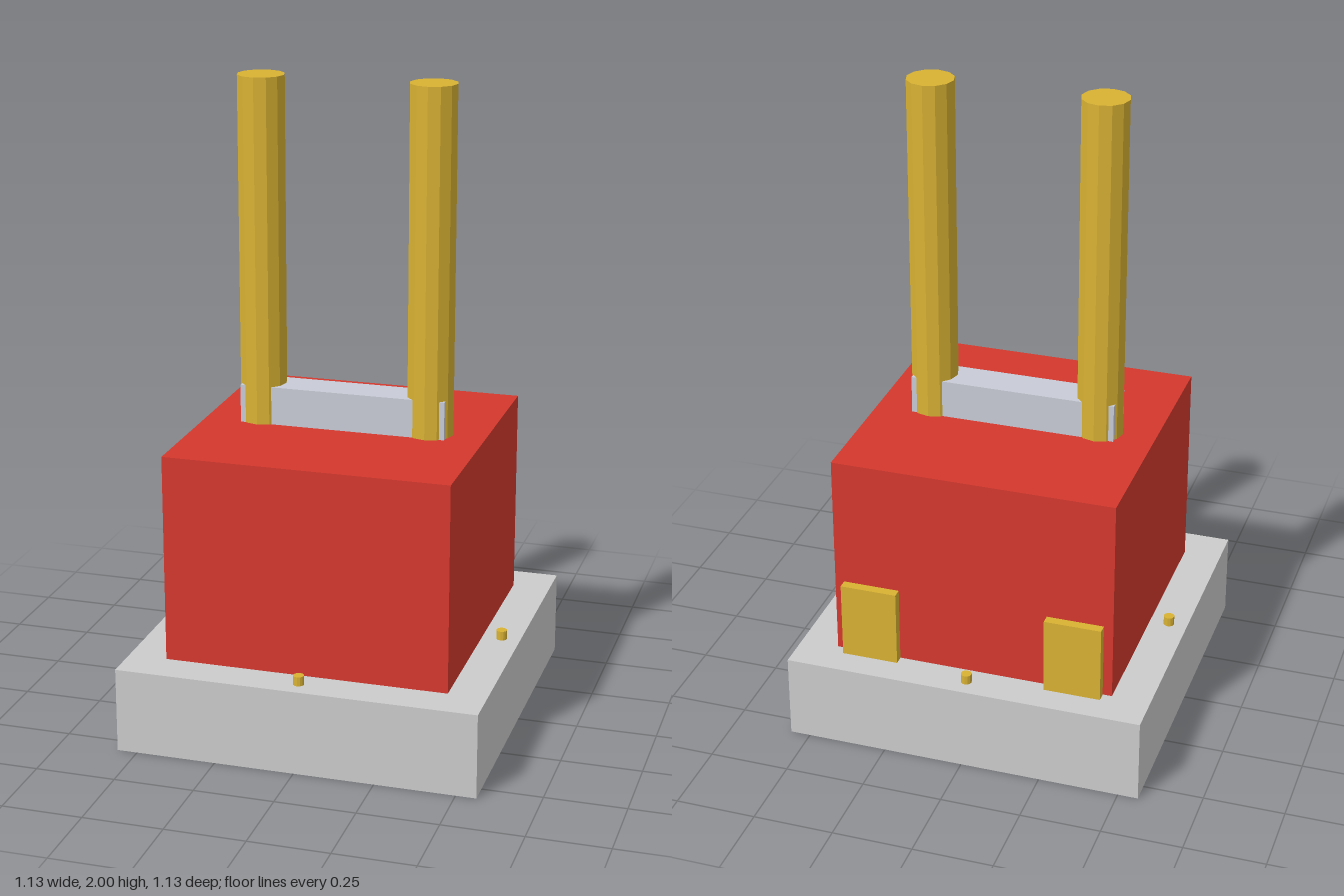
import * as THREE from 'three';

const material = (color, flatShading = false) => new THREE.MeshStandardMaterial({ color, flatShading });

export function createModel() {
  const group = new THREE.Group();
  const grey = material(0xcccccc);
  const red = material(0xd4382d);
  const steel = material(0xc8ccd6);
  const gold = material(0xd9b233, true);

  const add = (name, geometry, mat, x, y, z) => {
    const mesh = new THREE.Mesh(geometry, mat);
    mesh.name = name;
    mesh.position.set(x, y, z);
    group.add(mesh);
  };
  // Box and post placed by the height of their lower and upper ends
  const box = (name, mat, w, d, y0, y1, x = 0, z = 0) =>
    add(name, new THREE.BoxGeometry(w, y1 - y0, d), mat, x, (y0 + y1) / 2, z);
  const post = (name, r, sides, y0, y1, x, z) =>
    add(name, new THREE.CylinderGeometry(r, r, y1 - y0, sides), gold, x, (y0 + y1) / 2, z);

  // Base plate, body and the bar joining the rods
  box('base', grey, 1.126, 1.126, 0, 0.267);
  box('body', red, 0.886, 0.886, 0.267, 0.92);
  box('crossBar', steel, 0.65, 0.116, 0.92, 1.04);

  // Paired rods on top and plates on the back
  for (const [side, s] of [['left', 1], ['right', -1]]) {
    post(`${side}Rod`, 0.073, 12, 0.92, 2, s * 0.267, 0);
    box(`${side}BackPlate`, gold, 0.178, 0.03, 0.267, 0.51, s * 0.325, -0.459);
  }

  // One bolt in the middle of each base edge
  for (let i = 0; i < 4; i++) {
    const a = (i * Math.PI) / 2;
    post('bolt', 0.017, 12, 0.267, 0.296, 0.504 * Math.cos(a), 0.504 * Math.sin(a));
  }
  return group;
}
